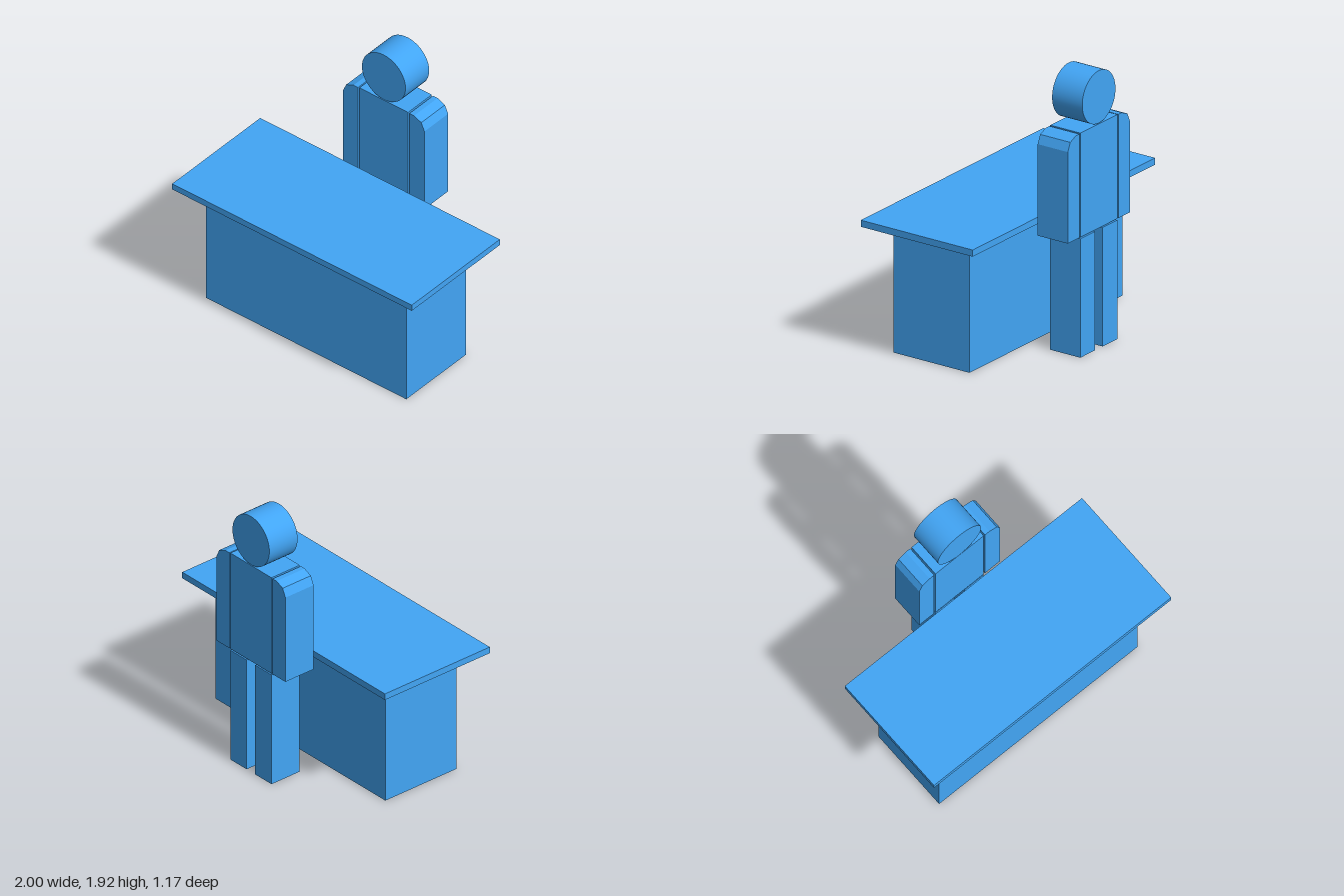
import * as THREE from 'three';

const material = new THREE.MeshStandardMaterial({ color: 0x42a5f5 });

// Shared depth range of the standing figure
const BACK = -0.585, FRONT = -0.345;

function add(group, name, geometry) {
  const mesh = new THREE.Mesh(geometry, material);
  mesh.name = name;
  group.add(mesh);
  return mesh;
}

// Box given by its limits on each axis
function box(group, name, [x0, x1], [y0, y1], [z0, z1]) {
  const mesh = add(group, name, new THREE.BoxGeometry(x1 - x0, y1 - y0, z1 - z0));
  mesh.position.set((x0 + x1) / 2, (y0 + y1) / 2, (z0 + z1) / 2);
}

function createDesk() {
  const desk = new THREE.Group();
  desk.name = 'desk';
  box(desk, 'deskBase', [-0.837, 0.837], [0, 0.89], [-0.163, 0.443]);
  box(desk, 'deskTop', [-1, 1], [0.89, 0.936], [-0.307, 0.585]);
  return desk;
}

function createFigure() {
  const figure = new THREE.Group();
  figure.name = 'figure';
  const depth = [BACK, FRONT];

  // Head: a disc facing forward
  const head = add(figure, 'head', new THREE.CylinderGeometry(0.182, 0.182, FRONT - BACK, 48));
  head.rotation.x = Math.PI / 2;
  head.position.set(0, 1.743, (FRONT + BACK) / 2);

  box(figure, 'torso', [-0.203, 0.203], [0.834, 1.556], depth);

  for (const [side, s] of [['left', 1], ['right', -1]]) {
    // Arm with a bevelled outer shoulder
    const outline = [[0.214, 0.834], [0.34, 0.834], [0.34, 1.468], [0.313, 1.527], [0.252, 1.553], [0.214, 1.553]];
    const shape = new THREE.Shape(outline.map(([x, y]) => new THREE.Vector2(s * x, y)));
    const arm = add(figure, side + 'Arm',
      new THREE.ExtrudeGeometry(shape, { depth: FRONT - BACK, bevelEnabled: false }));
    arm.position.z = BACK;

    // Leg
    box(figure, side + 'Leg', s > 0 ? [0.042, 0.203] : [-0.203, -0.042], [0, 0.824], depth);
  }
  return figure;
}

export function createModel() {
  const model = new THREE.Group();
  model.name = 'serviceDesk';
  model.add(createDesk(), createFigure());
  return model;
}
